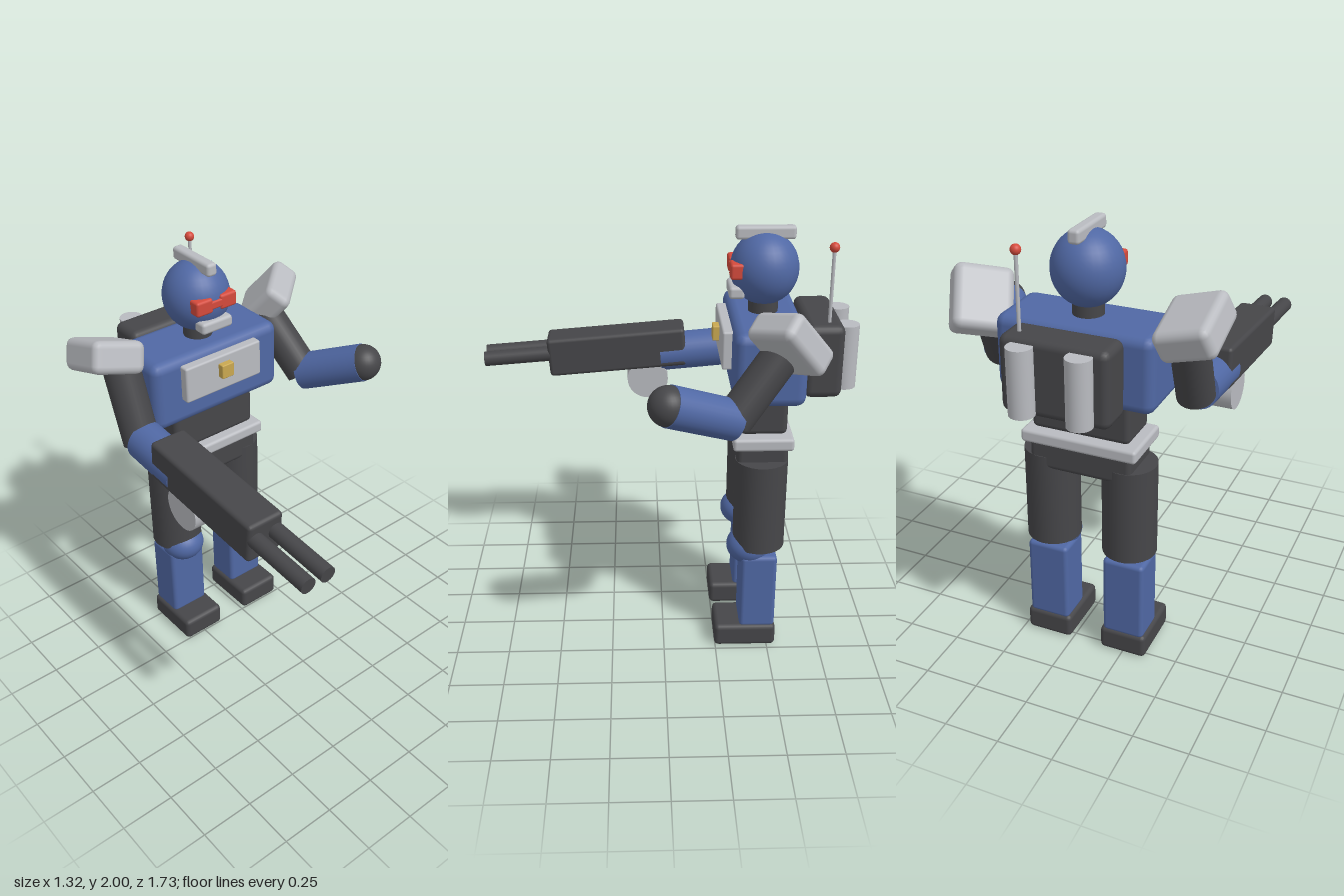
import * as THREE from 'three';
import { RoundedBoxGeometry } from 'three/addons/geometries/RoundedBoxGeometry.js';

const V = (x, y, z) => new THREE.Vector3(x, y, z);
const CX = -0.065, CZ = -0.45; // body axis

export function createModel() {
  const group = new THREE.Group();
  const mat = (name, color) => {
    const m = new THREE.MeshStandardMaterial({ color });
    m.name = name;
    return m;
  };
  const blue = mat('blue', 0x5068a4);
  const dark = mat('charcoal', 0x464649);
  const grey = mat('light grey', 0xb9bbc0);
  const red = mat('red', 0xd44a3c);
  const gold = mat('gold', 0xc9a850);

  const add = (name, geometry, material, x, y, z) => {
    const mesh = new THREE.Mesh(geometry, material);
    mesh.name = name;
    mesh.position.set(x, y, z);
    group.add(mesh);
    return mesh;
  };
  // Rounded box given by size and centre
  const box = (name, material, [w, h, d], [x, y, z], r = 0.02) =>
    add(name, new RoundedBoxGeometry(w, h, d, 2, r), material, x, y, z);
  const ball = (name, material, r, [x, y, z], sy = 1) => {
    const mesh = add(name, new THREE.SphereGeometry(r, 32, 20), material, x, y, z);
    mesh.scale.y = sy;
    return mesh;
  };
  // Cylinder between two points
  const rod = (name, material, r, a, b, sides = 28) => {
    const d = b.clone().sub(a), c = a.clone().add(b).multiplyScalar(0.5);
    const mesh = add(name, new THREE.CylinderGeometry(r, r, d.length(), sides), material, c.x, c.y, c.z);
    mesh.quaternion.setFromUnitVectors(V(0, 1, 0), d.normalize());
    return mesh;
  };

  // Head
  ball('head', blue, 0.153, [CX, 1.812, CZ], 1.06);
  box('crest', grey, [0.052, 0.06, 0.265], [CX, 1.97, CZ], 0.015);
  for (const s of [-1, 1])
    box('eye', red, [0.088, 0.07, 0.07], [CX + s * 0.064, 1.82, -0.327], 0.012);
  box('visorBridge', red, [0.07, 0.038, 0.05], [CX, 1.82, -0.317], 0.008);
  box('mouthGuard', grey, [0.165, 0.055, 0.07], [CX, 1.718, -0.325], 0.015);
  rod('neck', dark, 0.067, V(CX, 1.58, CZ), V(CX, 1.7, CZ));

  // Torso
  box('torso', blue, [0.7, 0.335, 0.32], [CX, 1.45, -0.457], 0.045);
  box('chestPlate', grey, [0.42, 0.175, 0.05], [CX, 1.498, -0.28], 0.01);
  box('chestButton', gold, [0.065, 0.068, 0.04], [CX, 1.517, -0.245], 0.005);
  box('abdomen', dark, [0.45, 0.21, 0.215], [CX, 1.205, CZ], 0.025);
  box('belt', grey, [0.53, 0.06, 0.275], [CX, 1.065, CZ], 0.015);
  box('pelvis', dark, [0.47, 0.15, 0.235], [CX, 0.985, CZ], 0.025);

  // Backpack with tanks and antenna
  box('backpack', dark, [0.475, 0.335, 0.17], [CX, 1.447, -0.703], 0.035);
  for (const s of [-1, 1]) {
    const x = CX + s * 0.126;
    rod('tank', grey, 0.055, V(x, 1.3, -0.81), V(x, 1.592, -0.81));
  }
  rod('antenna', grey, 0.008, V(0.105, 1.58, -0.722), V(0.105, 1.94, -0.722), 12);
  ball('antennaTip', red, 0.022, [0.105, 1.945, -0.722]);

  // Legs
  for (const s of [-1, 1]) {
    const x = CX + s * 0.185;
    rod('thigh', dark, 0.122, V(x, 0.525, CZ), V(x, 0.97, CZ));
    ball('knee', blue, 0.105, [x, 0.512, -0.405], 0.84);
    box('shin', blue, [0.195, 0.39, 0.17], [x, 0.295, CZ], 0.02);
    box('foot', dark, [0.22, 0.113, 0.295], [x, 0.0565, -0.393], 0.022);
  }

  // Right arm, reaching forward
  rod('rightUpperArm', dark, 0.083, V(-0.49, 1.63, -0.45), V(-0.49, 1.27, -0.32));
  box('rightShoulderPad', grey, [0.25, 0.145, 0.285], [-0.533, 1.65, -0.49], 0.035)
    .rotation.set(-0.33, 0, -0.31);
  rod('rightForearm', blue, 0.093, V(-0.488, 1.29, -0.295), V(-0.488, 1.264, 0));

  // Twin-barrelled gun, dipping slightly
  const tilt = 0.08;
  box('gunBody', dark, [0.175, 0.19, 0.675], [-0.488, 1.289, 0.213], 0.018).rotation.x = tilt;
  for (const s of [-1, 1]) {
    const x = -0.488 + s * 0.05;
    rod('gunBarrel', dark, 0.036, V(x, 1.281, 0.5), V(x, 1.253, 0.862));
  }
  rod('gunDrum', grey, 0.1, V(-0.555, 1.146, 0.063), V(-0.42, 1.146, 0.063), 32);

  // Left arm, bent across to the front
  const elbow = V(0.435, 1.303, -0.285), hand = V(0.565, 1.425, -0.007);
  rod('leftUpperArm', dark, 0.083, V(0.35, 1.59, -0.505), elbow);
  rod('leftForearm', blue, 0.089, elbow, hand);
  ball('leftFist', dark, 0.086, hand.toArray());
  const pad = box('leftShoulderPad', grey, [0.255, 0.135, 0.285], [0.395, 1.621, -0.512], 0.035);
  const zAxis = V(0.27, 0.76, 0.6).normalize();
  const yAxis = zAxis.clone().cross(V(0.745, 0.225, -0.63)).normalize();
  const xAxis = yAxis.clone().cross(zAxis);
  pad.quaternion.setFromRotationMatrix(new THREE.Matrix4().makeBasis(xAxis, yAxis, zAxis));

  return group;
}
